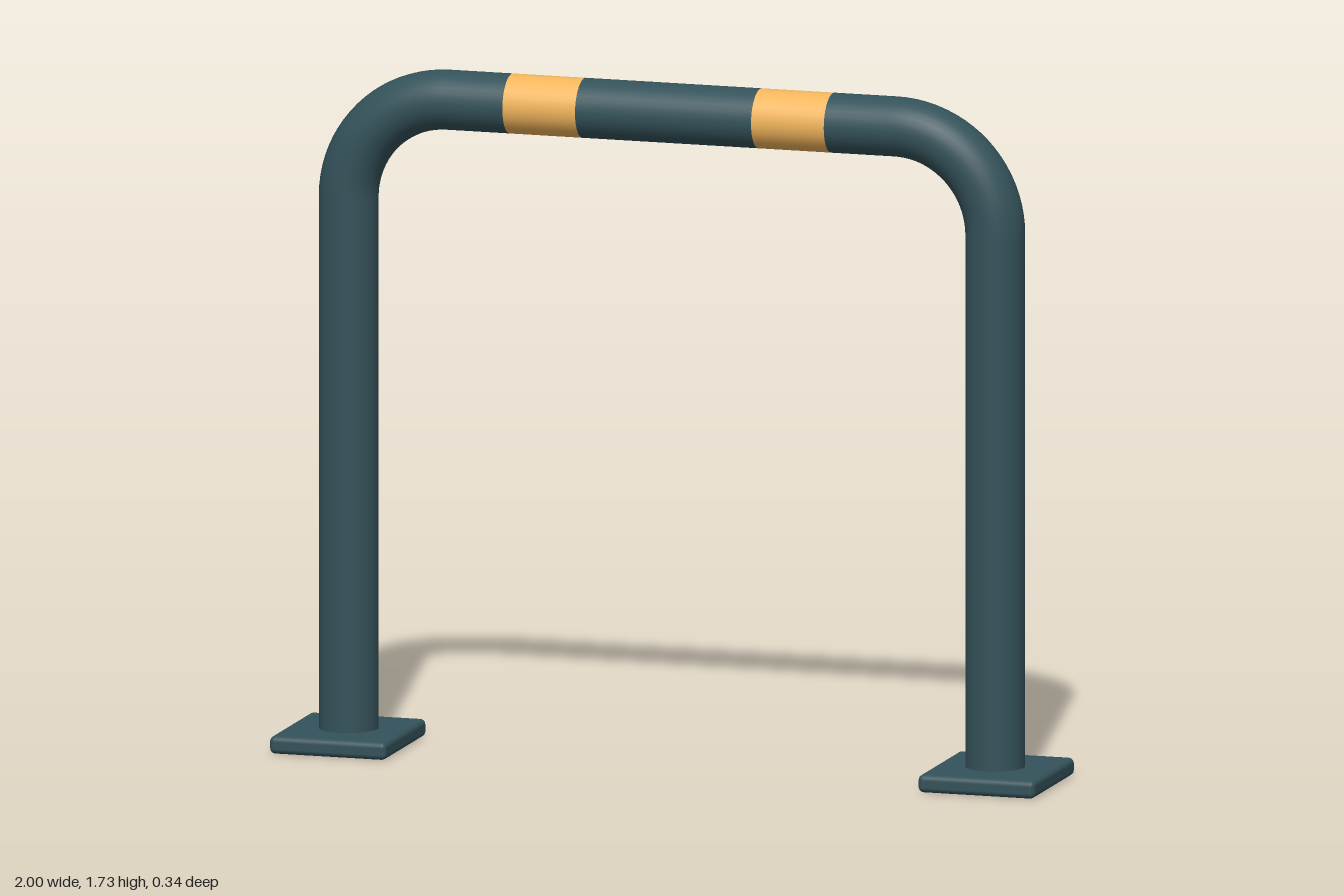
import * as THREE from 'three';
import { RoundedBoxGeometry } from 'three/addons/geometries/RoundedBoxGeometry.js';

const R = 0.075;        // pipe radius
const LEG_X = 0.845;    // leg axis
const TOP_Y = 1.655;    // top rail axis
const BEND = 0.26;      // bend radius at the pipe axis
const PLATE_H = 0.045;
const BAND_IN = 0.23, BAND_OUT = 0.42;
const SIDES = 32;

export function createModel() {
  const group = new THREE.Group();
  const paint = new THREE.MeshStandardMaterial({ color: 0x34525a });
  const stripe = new THREE.MeshStandardMaterial({ color: 0xf2b55c });

  const add = (name, geometry, material, x, y) => {
    const mesh = new THREE.Mesh(geometry, material);
    mesh.name = name;
    mesh.position.set(x, y, 0);
    group.add(mesh);
    return mesh;
  };
  const pipe = (length) => new THREE.CylinderGeometry(R, R, length, SIDES, 1, true);

  // Horizontal piece of the top rail between two x positions
  const rail = (name, x0, x1, material) => {
    add(name, pipe(x1 - x0), material, (x0 + x1) / 2, TOP_Y).rotation.z = Math.PI / 2;
  };

  rail('middleRail', -BAND_IN, BAND_IN, paint);

  for (const s of [1, -1]) {
    const side = s > 0 ? 'left' : 'right';
    const span = (name, a, b, material) =>
      rail(name, Math.min(s * a, s * b), Math.max(s * a, s * b), material);

    // Base plate
    add(side + 'BasePlate', new RoundedBoxGeometry(0.305, PLATE_H, 0.345, 3, 0.014),
      paint, s * 0.8475, PLATE_H / 2);

    // Upright leg, sunk halfway into the plate
    const bottom = PLATE_H / 2, top = TOP_Y - BEND;
    add(side + 'Leg', pipe(top - bottom), paint, s * LEG_X, (top + bottom) / 2);

    // Quarter bend
    const bend = add(side + 'Bend', new THREE.TorusGeometry(BEND, R, SIDES, 20, Math.PI / 2),
      paint, s * (LEG_X - BEND), TOP_Y - BEND);
    if (s < 0) bend.rotation.z = Math.PI / 2;

    // Coloured band and the short rail outside it
    span(side + 'Band', BAND_IN, BAND_OUT, stripe);
    span(side + 'OuterRail', BAND_OUT, LEG_X - BEND, paint);
  }
  return group;
}
